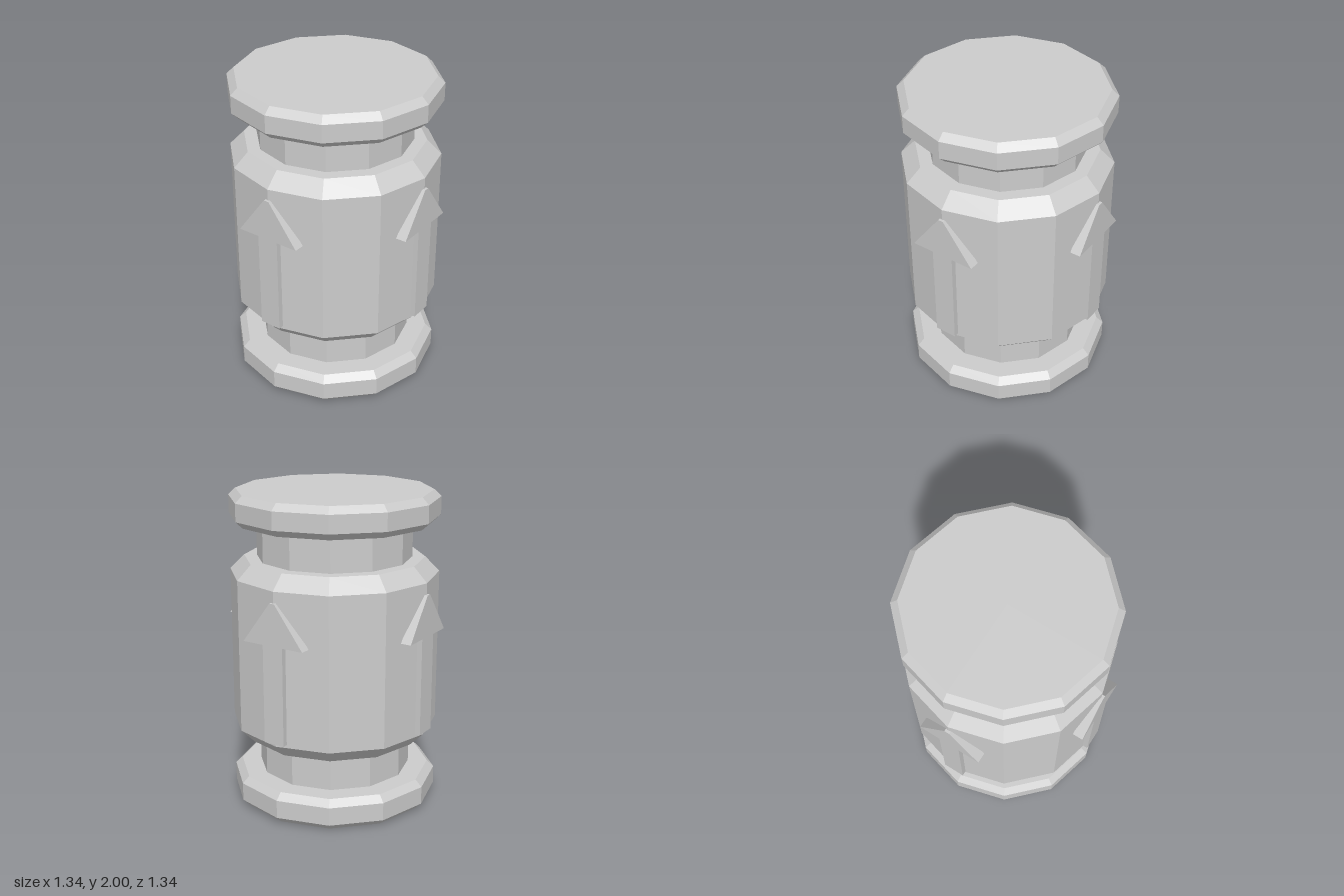
import * as THREE from 'three';

const SIDES = 12;
const material = new THREE.MeshStandardMaterial({ color: 0xcccccc, flatShading: true });

// Faceted turned part from [radius, height] pairs, bottom to top
function turned(name, profile) {
  const points = profile.map(([r, y]) => new THREE.Vector2(r, y));
  const mesh = new THREE.Mesh(new THREE.LatheGeometry(points, SIDES), material);
  mesh.name = name;
  return mesh;
}

// Solid drum with bevelled rims
function drum(name, y0, y1, endRadius, bevel) {
  const r = 0.657;
  return turned(name, [
    [0, y0], [endRadius, y0], [r, y0 + bevel],
    [r, y1 - bevel], [endRadius, y1], [0, y1],
  ]);
}

export function createModel() {
  const model = new THREE.Group();
  model.name = 'canister';

  // Stacked body
  model.add(
    drum('bottomCap', 0, 0.2, 0.613, 0.042),
    turned('lowerNeck', [[0.487, 0.2], [0.487, 0.43]]),
    drum('body', 0.43, 1.58, 0.567, 0.09),
    turned('upperNeck', [[0.487, 1.58], [0.487, 1.805]]),
    drum('topCap', 1.805, 2, 0.613, 0.042),
  );

  // Raised arrows on the four sides
  const half = [[0.07, 0.54], [0.07, 1.16], [0.212, 1.16], [0.017, 1.42]];
  const outline = [...half, ...half.map(([x, y]) => [-x, y]).reverse()];
  const shape = new THREE.Shape(outline.map(([x, y]) => new THREE.Vector2(x, y)));
  const arrowGeometry = new THREE.ExtrudeGeometry(shape, { depth: 0.067, bevelEnabled: false });
  arrowGeometry.translate(0, 0, 0.605);
  ['front', 'left', 'back', 'right'].forEach((side, i) => {
    const arrow = new THREE.Mesh(arrowGeometry, material);
    arrow.name = side + 'Arrow';
    arrow.rotation.y = (i * Math.PI) / 2;
    model.add(arrow);
  });

  return model;
}
